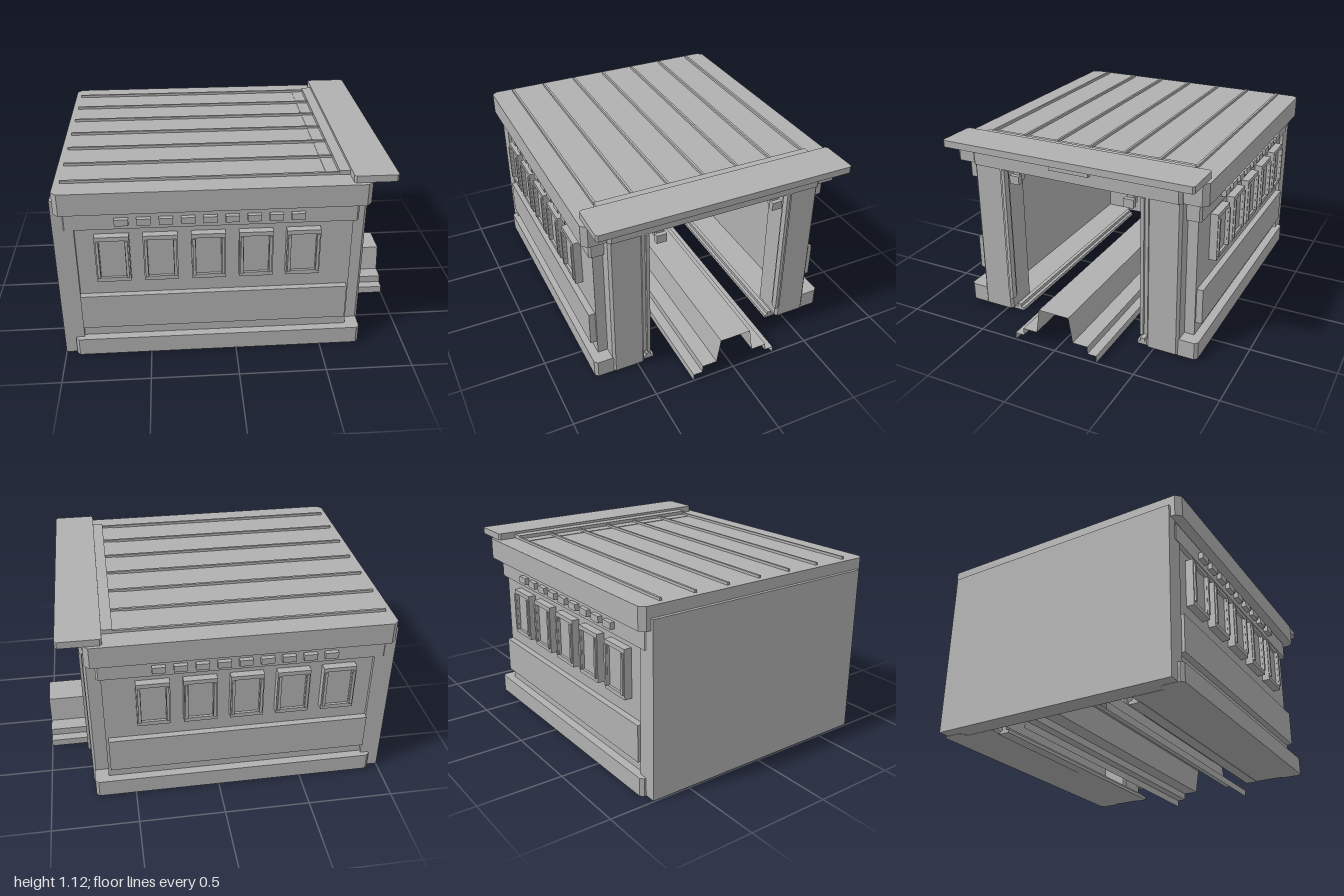
import * as THREE from 'three';

export function createModel() {
  const model = new THREE.Group();
  const grey = new THREE.MeshStandardMaterial({ name: 'concreteGrey', color: 0xb0b0b0 });
  grey.flatShading = true;
  const greySheet = grey.clone();
  greySheet.side = THREE.DoubleSide;

  const add = (name, geometry, material = grey) => {
    const mesh = new THREE.Mesh(geometry, material);
    mesh.name = name;
    model.add(mesh);
    return mesh;
  };

  // Box given by its limits
  const box = (name, x0, x1, y0, y1, z0, z1) =>
    add(name, new THREE.BoxGeometry(x1 - x0, y1 - y0, Math.abs(z1 - z0))
      .translate((x0 + x1) / 2, (y0 + y1) / 2, (z0 + z1) / 2));

  // Upright block whose vertical corners are cut by c
  const block = (name, x0, x1, y0, y1, z0, z1, c) => {
    const a = (x1 - x0) / 2, b = Math.abs(z1 - z0) / 2;
    const outline = [[a, b - c], [a - c, b], [c - a, b], [-a, b - c],
      [-a, c - b], [c - a, -b], [a - c, -b], [a, c - b]];
    const shape = new THREE.Shape(outline.map(p => new THREE.Vector2(...p)));
    return add(name, new THREE.ExtrudeGeometry(shape, { depth: y1 - y0, bevelEnabled: false })
      .rotateX(-Math.PI / 2).translate((x0 + x1) / 2, y0, (z0 + z1) / 2));
  };

  // Window frame with a sunken pane, on side s
  const windowUnit = (x, s) => {
    const outer = [[-0.095, 0.505], [0.095, 0.505], [0.095, 0.79], [-0.095, 0.79]];
    const inner = [[-0.07, 0.53], [-0.07, 0.765], [0.07, 0.765], [0.07, 0.53]];
    const shape = new THREE.Shape(outer.map(p => new THREE.Vector2(...p)));
    shape.holes.push(new THREE.Path(inner.map(p => new THREE.Vector2(...p))));
    const z0 = s > 0 ? 0.71 : -0.76;
    add('windowFrame', new THREE.ExtrudeGeometry(shape, { depth: 0.05, bevelEnabled: false }).translate(x, 0, z0));
    box('windowPane', x - 0.07, x + 0.07, 0.53, 0.765, s * 0.71, s * 0.745);
    for (const e of [-1, 1]) {
      const c = x + e * 0.08;
      box('windowTrim', c - 0.008, c + 0.008, 0.53, 0.765, s * 0.755, s * 0.77);
    }
  };

  // Back wall and the block on its inside
  box('backWall', -1, -0.885, 0.005, 1.01, -0.735, 0.735);
  box('innerBackBlock', -0.89, -0.83, 0.08, 0.3, -0.235, 0.235);
  box('innerBackBlockFlange', -0.89, -0.85, 0.08, 0.3, -0.245, 0.245);

  // Side walls, mirrored
  for (const s of [1, -1]) {
    box('sideWall', -0.89, 0.655, 0.005, 0.95, s * 0.62, s * 0.715);
    box('floorStrip', -0.89, 0.72, 0.003, 0.02, s * 0.45, s * 0.7);
    block('doorPillar', 0.54, 0.745, 0.01, 0.955, s * 0.455, s * 0.655, 0.015);
    box('doorJambOuter', 0.71, 0.755, 0.1, 0.95, s * 0.44, s * 0.47);
    box('doorJambInner', 0.73, 0.77, 0.1, 0.95, s * 0.43, s * 0.45);
    block('plinth', -0.935, 0.735, 0.003, 0.11, s * 0.63, s * 0.765, 0.018);
    box('lowerPanel', -0.885, 0.64, 0.185, 0.4, s * 0.7, s * 0.752);
    block('upperBand', -0.945, 0.68, 0.83, 0.935, s * 0.62, s * 0.74, 0.012);
    box('floorRail', -0.82, 0.72, 0, 0.02, s * 0.39, s * 0.46);
    box('floorRailLip', -0.82, 0.72, 0.015, 0.04, s * 0.41, s * 0.435);
    box('doorLamp', 0.7, 0.75, 0.89, 0.955, s * 0.34, s * 0.38);
    box('doorLampFace', 0.74, 0.775, 0.88, 0.93, s * 0.33, s * 0.39);
    for (let i = 0; i < 5; i++) windowUnit(-0.685 + i * 0.265, s);
    for (let i = 0; i < 9; i++) {
      const x = -0.625 + i * 0.1205;
      box('vent', x - 0.038, x + 0.038, 0.862, 0.9, s * 0.73, s * 0.767);
    }
  }

  // Roof with its cornice, lintel and ribs
  block('cornice', -0.98, 0.735, 0.947, 1.075, -0.79, 0.79, 0.03);
  block('lintel', 0.5, 0.758, 0.947, 1.078, -0.657, 0.657, 0.018);
  box('doorSign', 0.75, 0.785, 1.012, 1.056, -0.123, 0.123);
  for (let i = -3; i <= 3; i++) {
    const z = i * 0.217;
    box('roofRib', -0.945, 0.575, 1.07, 1.09, z - 0.007, z + 0.007);
  }
  box('roofCrossBar', 0.57, 0.65, 1.07, 1.1, -0.66, 0.66);
  block('doorCanopy', 0.63, 0.875, 1.075, 1.115, -0.77, 0.765, 0.012);

  // Raised track: a folded sheet swept along x
  const profile = [[0.262, 0], [0.262, 0.045], [0.205, 0.045], [0.205, 0.09], [0.115, 0.09], [0.092, 0.245],
    [-0.098, 0.245], [-0.122, 0.09], [-0.215, 0.09], [-0.215, 0.045], [-0.27, 0.045], [-0.27, 0]];
  const positions = [];
  for (let i = 0; i < profile.length - 1; i++) {
    const [z0, y0] = profile[i], [z1, y1] = profile[i + 1];
    const a = [-0.83, y0, z0], b = [1, y0, z0], c = [1, y1, z1], d = [-0.83, y1, z1];
    positions.push(...a, ...b, ...c, ...a, ...c, ...d);
  }
  const track = new THREE.BufferGeometry();
  track.setAttribute('position', new THREE.Float32BufferAttribute(positions, 3));
  track.computeVertexNormals();
  add('track', track, greySheet);

  return model;
}
